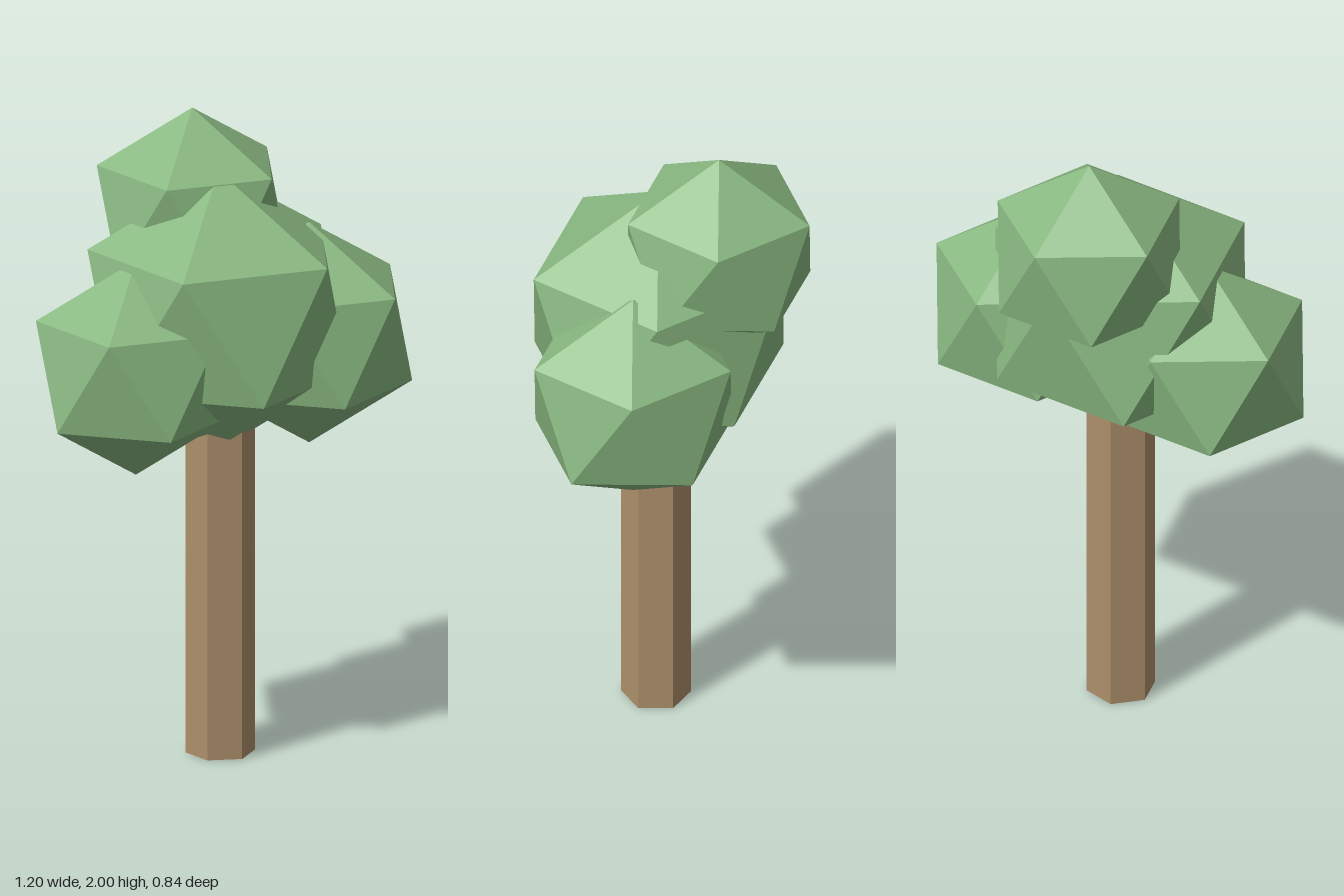
import * as THREE from 'three';

export function createModel() {
  const tree = new THREE.Group();
  tree.name = 'tree';

  const leafGreen = new THREE.MeshStandardMaterial({ color: 0x89b881, flatShading: true });
  leafGreen.name = 'leafGreen';
  const barkBrown = new THREE.MeshStandardMaterial({ color: 0xac8f6a, flatShading: true });
  barkBrown.name = 'barkBrown';

  // Six-sided trunk, its upper end buried in the foliage
  const trunkHeight = 1.2;
  const trunk = new THREE.Mesh(new THREE.CylinderGeometry(0.107, 0.107, trunkHeight, 6), barkBrown);
  trunk.name = 'trunk';
  trunk.position.set(-0.008, trunkHeight / 2, 0.048);
  tree.add(trunk);

  // Foliage clumps: icosahedra standing on a corner, one upper corner facing +x
  const tilt = -Math.atan(2 / (1 + Math.sqrt(5)));
  const clumps = [
    ['middleFoliage', 0.447, -0.01, 1.405, 0.04],
    ['topFoliage', 0.326, 0.035, 1.674, -0.145],
    ['rightFoliage', 0.342, -0.299, 1.268, 0],
    ['leftFoliage', 0.352, 0.285, 1.298, 0.115],
  ];
  for (const [name, radius, x, y, z] of clumps) {
    const clump = new THREE.Mesh(new THREE.IcosahedronGeometry(radius, 0).rotateZ(tilt), leafGreen);
    clump.name = name;
    clump.position.set(x, y, z);
    tree.add(clump);
  }

  return tree;
}
